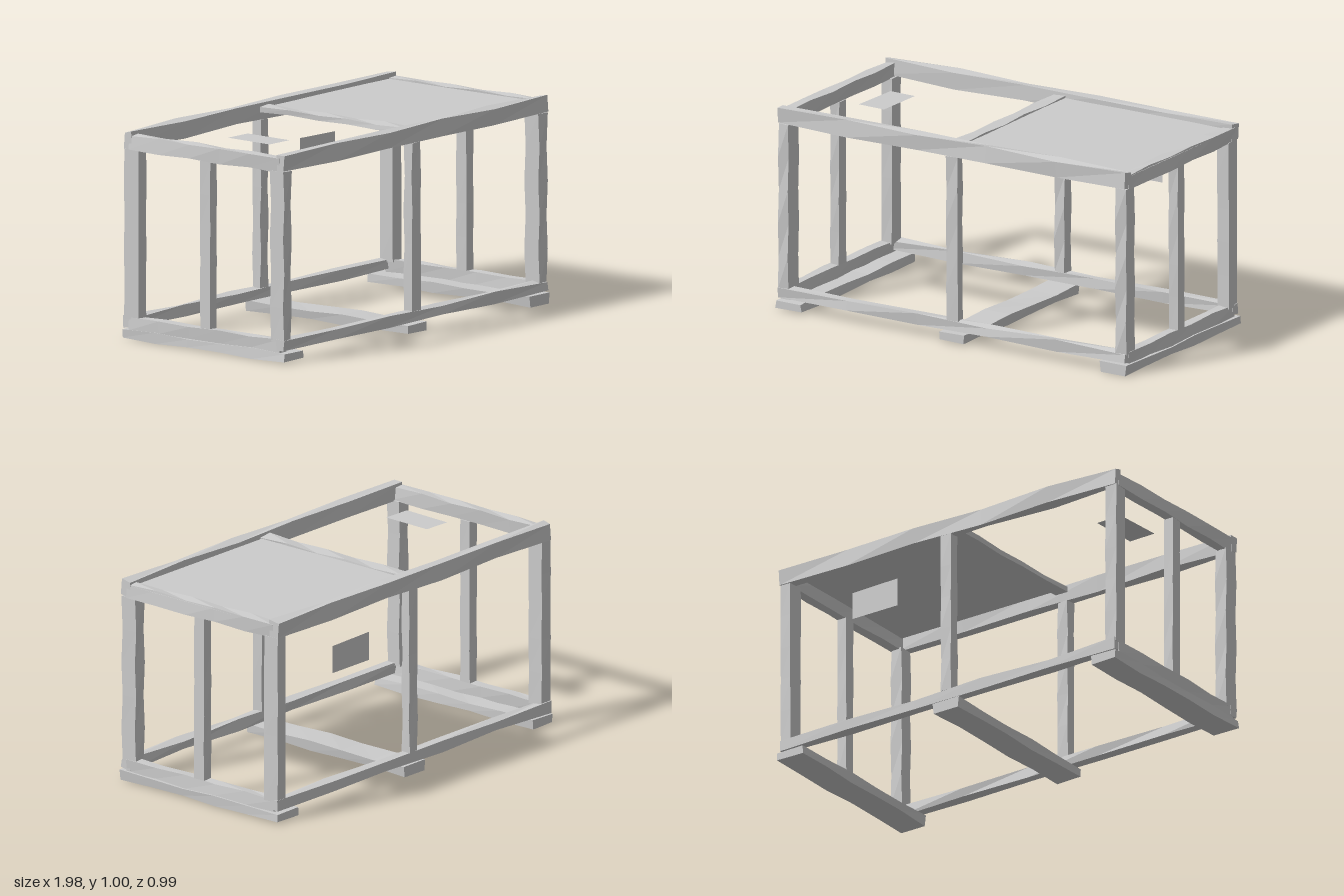
import * as THREE from 'three';

const material = new THREE.MeshStandardMaterial({ color: 0xcccccc, flatShading: true });
const sheetMaterial = new THREE.MeshStandardMaterial({ color: 0xcccccc, side: THREE.DoubleSide });

// Rough-cut beam between two corners, split lengthwise and slightly bent by a rule.
function beam(name, [x0, y0, z0], [x1, y1, z1], rough = 0.004) {
  const size = [x1 - x0, y1 - y0, z1 - z0];
  const long = size.indexOf(Math.max(...size));
  const segments = [1, 1, 1];
  segments[long] = 5;
  const geometry = new THREE.BoxGeometry(...size, ...segments);
  geometry.translate((x0 + x1) / 2, (y0 + y1) / 2, (z0 + z1) / 2);
  const p = geometry.attributes.position;
  for (let i = 0; i < p.count; i++) {
    const v = [p.getX(i), p.getY(i), p.getZ(i)];
    const phase = v[0] * 17 + v[1] * 29 + v[2] * 23;
    const out = v.map((c, k) => (k === long ? c : c + rough * Math.sin(phase * (k + 1.3) + k * 2)));
    p.setXYZ(i, out[0], Math.max(0, out[1]), out[2]);
  }
  geometry.computeVertexNormals();
  const mesh = new THREE.Mesh(geometry, material);
  mesh.name = name;
  return mesh;
}

// Thin sheet through four corners given in order around its edge.
function sheet(name, a, b, c, d) {
  const geometry = new THREE.BufferGeometry();
  geometry.setAttribute('position', new THREE.Float32BufferAttribute([...a, ...b, ...c, ...d], 3));
  geometry.setIndex([0, 1, 2, 0, 2, 3]);
  geometry.computeVertexNormals();
  const mesh = new THREE.Mesh(geometry, sheetMaterial);
  mesh.name = name;
  return mesh;
}

// Beam reflected to the chosen side of an axis: the range is given for the positive side.
const span = (side, near, far) => (side > 0 ? [near, far] : [-far, -near]);

export function createModel() {
  const group = new THREE.Group();
  group.name = 'crateFrame';

  // Long rails, middle posts and corner posts, front and back
  for (const sz of [1, -1]) {
    const face = sz > 0 ? 'front' : 'back';
    const [r0, r1] = span(sz, 0.44, 0.49);
    group.add(beam(face + 'TopRail', [-0.98, 0.92, r0], [0.98, 1.0, r1], 0.006));
    group.add(beam(face + 'BottomRail', [-0.98, 0.06, r0], [0.98, 0.11, r1], 0.006));
    group.add(beam(face + 'MiddlePost', [-0.025, 0.11, r0], [0.035, 0.92, r1]));
    for (const sx of [1, -1]) {
      const [x0, x1] = span(sx, 0.92, 0.98);
      const [z0, z1] = span(sz, 0.405, 0.485);
      group.add(beam(face + (sx > 0 ? 'Left' : 'Right') + 'Post', [x0, 0.1, z0], [x1, 0.92, z1]));
    }
  }

  // End frames: top and bottom beams with a middle post
  for (const sx of [1, -1]) {
    const side = sx > 0 ? 'left' : 'right';
    const [x0, x1] = span(sx, 0.93, 0.98);
    group.add(beam(side + 'TopBeam', [x0, 0.915, -0.46], [x1, 0.985, 0.46]));
    group.add(beam(side + 'BottomBeam', [x0, 0.05, -0.46], [x1, 0.11, 0.46]));
    group.add(beam(side + 'MiddlePost', [x0, 0.11, -0.025], [x1, 0.915, 0.035], 0.002));
  }

  // Three skids under the frame
  [-0.915, 0.005, 0.915].forEach((x, i) => {
    group.add(beam('skid' + (i + 1), [x - 0.072, 0.006, -0.495], [x + 0.072, 0.05, 0.495], 0.005));
  });

  // Thin crossbar beside the roof panel
  group.add(beam('roofCrossbar', [-0.025, 0.96, -0.44], [0.04, 0.985, 0.44]));

  // Roof panel over the left half
  group.add(sheet('roofPanel', [0.03, 0.978, 0.43], [0.98, 0.978, 0.43], [0.98, 0.978, -0.44], [0.03, 0.978, -0.44]));

  // Small floating plates: one level on top, one upright at the back
  group.add(sheet('topPlate', [-0.72, 0.98, 0.185], [-0.575, 0.98, 0.19], [-0.57, 0.98, -0.07], [-0.71, 0.98, -0.075]));
  group.add(sheet('backPlate', [0.567, 0.64, -0.47], [0.305, 0.64, -0.47], [0.305, 0.78, -0.47], [0.567, 0.775, -0.47]));

  return group;
}
